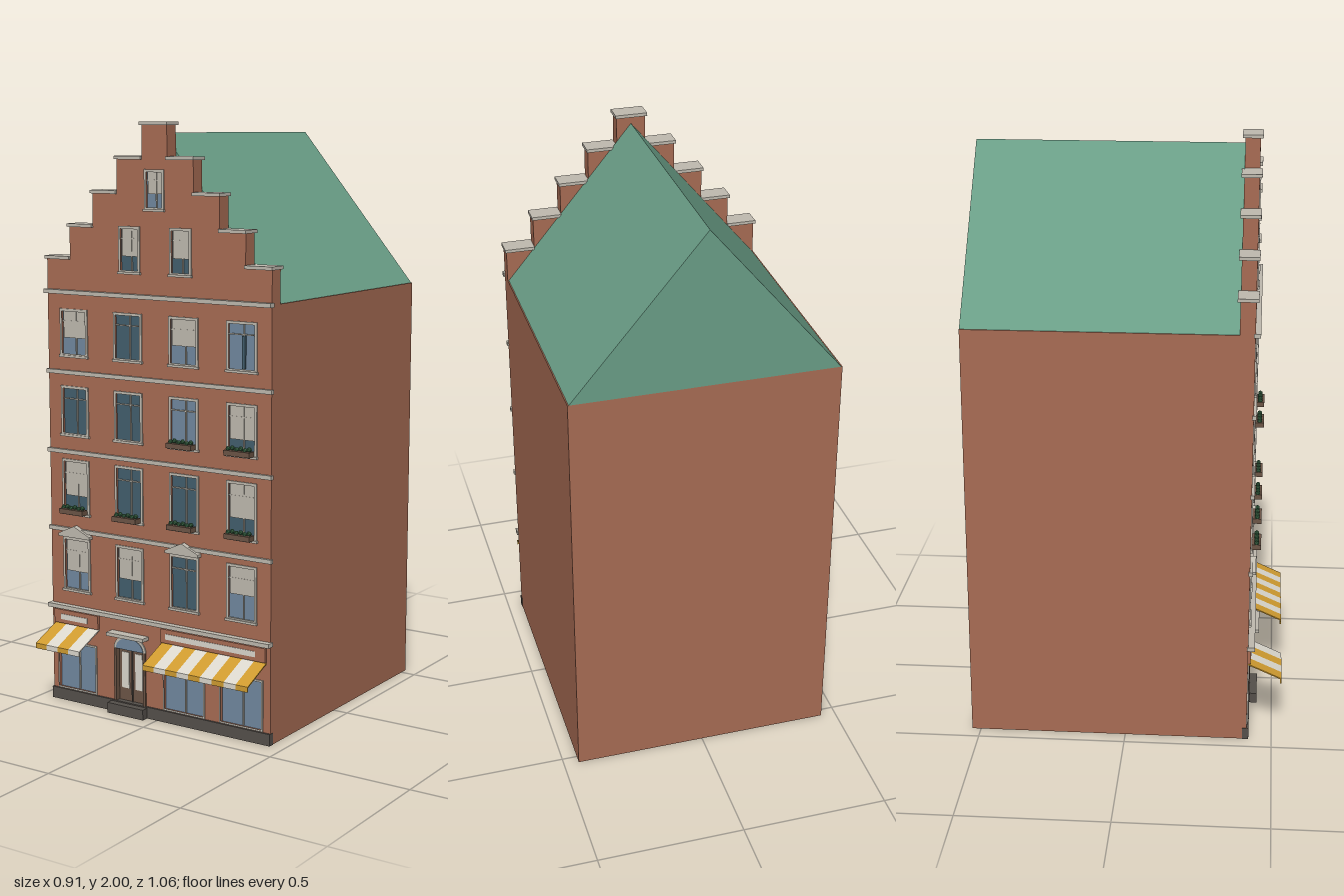
import * as THREE from 'three';

const mat = (name, color) => {
  const m = new THREE.MeshStandardMaterial({ color });
  m.name = name;
  return m;
};
const brick = mat('brick', 0xa86c54), trim = mat('stone trim', 0xc0bbb0), copper = mat('green roof', 0x6a9e87);
const dark = mat('dark glass', 0x435f6e), pale = mat('pale glass', 0x7189a0), plinthMat = mat('plinth stone', 0x55504b);
const wood = mat('brown wood', 0x6c5546), yellow = mat('awning yellow', 0xd09c30);
const cream = mat('awning cream', 0xdcd8ce), leaf = mat('foliage', 0x3c6a48);

const FRONT = 0.415, BACK = -0.53, SLAB = 0.365, W = 0.448;

// box given by its limits on each axis
function box(parent, name, m, x0, x1, y0, y1, z0, z1) {
  const mesh = new THREE.Mesh(new THREE.BoxGeometry(x1 - x0, y1 - y0, z1 - z0), m);
  mesh.position.set((x0 + x1) / 2, (y0 + y1) / 2, (z0 + z1) / 2);
  mesh.name = name;
  parent.add(mesh);
  return mesh;
}

function extrude(parent, name, m, shape, z0, z1) {
  const geo = new THREE.ExtrudeGeometry(shape, { depth: z1 - z0, bevelEnabled: false, curveSegments: 10 });
  const mesh = new THREE.Mesh(geo, m);
  mesh.position.z = z0;
  mesh.name = name;
  parent.add(mesh);
  return mesh;
}

const poly = pts => new THREE.Shape(pts.map(p => new THREE.Vector2(...p)));
const rect = (x0, x1, y0, y1) => [[x0, y0], [x0, y1], [x1, y1], [x1, y0]];

// window rows: bottom, top, then glass and blind share for each column
const columns = [-0.337, -0.112, 0.112, 0.337];
const rows = [
  { y0: 0.4, y1: 0.588, panes: [[pale, 0.65], [dark, 0.63], [dark, 0], [pale, 0.55]], boxes: [], pediments: [0, 2] },
  { y0: 0.672, y1: 0.862, panes: [[dark, 0.68], [dark, 0], [dark, 0], [dark, 0.65]], boxes: [0, 1, 2, 3], pediments: [] },
  { y0: 0.945, y1: 1.115, panes: [[dark, 0], [dark, 0], [pale, 0], [dark, 0.7]], boxes: [2, 3], pediments: [] },
  { y0: 1.217, y1: 1.378, panes: [[pale, 0.62], [dark, 0], [pale, 0.6], [pale, 0]], boxes: [], pediments: [] },
];
const windows = [];
rows.forEach(r => columns.forEach((x, i) => windows.push({
  x, w: 0.116, y0: r.y0, y1: r.y1, glass: r.panes[i][0], blind: r.panes[i][1],
  planter: r.boxes.includes(i), pediment: r.pediments.includes(i),
})));
for (const x of [-0.102, 0.102]) windows.push({ x, w: 0.086, y0: 1.51, y1: 1.663, glass: dark, blind: 0.65 });
windows.push({ x: 0, w: 0.078, y0: 1.717, y1: 1.848, glass: pale, blind: 0.6 });

const shops = [[-0.425, -0.256], [0.024, 0.193], [0.252, 0.421]];
const door = [-0.176, -0.052, 0.04, 0.226];

// frame around an opening, slightly proud of the wall
function frame(parent, x0, x1, y0, y1, t = 0.009) {
  const s = poly(rect(x0, x1, y0, y1));
  s.holes.push(poly(rect(x0 + t, x1 - t, y0 + t, y1 - t)));
  extrude(parent, 'frame', trim, s, 0.4, 0.419);
}

function addWindow(house, o) {
  const g = new THREE.Group();
  g.name = 'window';
  const x0 = o.x - o.w / 2, x1 = o.x + o.w / 2, h = o.y1 - o.y0;
  box(g, 'glass', o.glass, x0, x1, o.y0, o.y1, 0.394, 0.4);
  frame(g, x0, x1, o.y0, o.y1);
  box(g, 'mullion', trim, o.x - 0.002, o.x + 0.002, o.y0, o.y1, 0.4, 0.405);
  const bar = o.y1 - h * 0.27;
  box(g, 'transom', trim, x0, x1, bar - 0.002, bar + 0.002, 0.4, 0.405);
  if (o.blind) box(g, 'blind', trim, x0 + 0.005, x1 - 0.005, o.y1 - h * o.blind, o.y1 - 0.004, 0.4, 0.404);
  box(g, 'sill', trim, x0 - 0.003, x1 + 0.003, o.y0 - 0.004, o.y0 + 0.004, 0.4, 0.423);
  if (o.planter) {
    box(g, 'planter', wood, o.x - 0.049, o.x + 0.049, o.y0 + 0.004, o.y0 + 0.021, 0.419, 0.449);
    for (let i = 0; i < 6; i++) {
      const plant = new THREE.Mesh(new THREE.IcosahedronGeometry(0.009, 0), leaf);
      plant.position.set(o.x - 0.04 + i * 0.016, o.y0 + 0.024 + (i % 2) * 0.004, 0.434);
      plant.name = 'plant';
      g.add(plant);
    }
  }
  if (o.pediment) {
    const y = o.y1 + 0.004;
    extrude(g, 'pediment', trim, poly([[o.x - 0.066, y], [o.x + 0.066, y], [o.x + 0.066, y + 0.01], [o.x, y + 0.04], [o.x - 0.066, y + 0.01]]), FRONT, 0.434);
  }
  house.add(g);
}

// striped sloping awning with a short hanging edge
function addAwning(house, x0, x1, count) {
  const g = new THREE.Group();
  g.name = 'awning';
  const dz = 0.113, dy = 0.05, w = (x1 - x0) / count;
  for (let i = 0; i < count; i++) {
    const a = x0 + i * w, m = i % 2 ? cream : yellow;
    const s = box(g, 'awningStripe', m, a, a + w, -0.002, 0.002, 0, Math.hypot(dz, dy));
    s.position.y = 0.275 - dy / 2;
    s.position.z = FRONT + dz / 2;
    s.rotation.x = Math.atan2(dy, dz);
    box(g, 'awningEdge', m, a, a + w, 0.209, 0.227, 0.525, 0.529);
  }
  house.add(g);
}

export function createModel() {
  const house = new THREE.Group();
  house.name = 'townHouse';

  // main block and pitched roof
  box(house, 'walls', brick, -W, W, 0, 1.435, BACK, SLAB);
  extrude(house, 'roof', copper, poly([[-0.444, 1.435], [0.444, 1.435], [0, 1.965]]), BACK, SLAB);

  // stepped front wall with openings
  const steps = [[0.448, 1.545], [0.35, 1.655], [0.252, 1.768], [0.152, 1.88], [0.05, 1.99]];
  const right = [[W, 0]];
  steps.forEach(([x, y], i) => {
    if (i) right.push([x, steps[i - 1][1]]);
    right.push([x, y]);
  });
  const facade = poly([...right, ...right.map(([x, y]) => [-x, y]).reverse()]);
  windows.forEach(o => facade.holes.push(poly(rect(o.x - o.w / 2, o.x + o.w / 2, o.y0, o.y1))));
  shops.forEach(([a, b]) => facade.holes.push(poly(rect(a, b, 0.042, 0.215))));
  facade.holes.push(poly(rect(...door)));
  extrude(house, 'frontWall', brick, facade, SLAB, FRONT);

  // coping stones on the steps
  steps.forEach(([x, y], i) => {
    const inner = i < 4 ? steps[i + 1][0] : -x - 0.005;
    for (const s of i < 4 ? [1, -1] : [1]) {
      const a = s * inner, b = s * (x + 0.005);
      box(house, 'coping', trim, Math.min(a, b), Math.max(a, b), y - 0.001, y + 0.01, 0.356, 0.424);
    }
  });

  // horizontal stone bands
  [[0.34, 0.437], [0.615, 0.424], [0.888, 0.424], [1.162, 0.424], [1.435, 0.432]].forEach(([y, z]) =>
    box(house, 'stoneBand', trim, -0.453, 0.453, y - 0.007, y + 0.007, FRONT - 0.005, z));

  windows.forEach(o => addWindow(house, o));

  // slightly parted curtains
  box(house, 'curtainGap', dark, 0.331, 0.343, 1.226, 1.33, 0.4, 0.407);

  // shop fronts
  shops.forEach(([a, b]) => {
    box(house, 'shopGlass', pale, a, b, 0.042, 0.215, 0.394, 0.4);
    frame(house, a, b, 0.042, 0.215, 0.006);
    const c = (a + b) / 2;
    box(house, 'shopMullion', trim, c - 0.002, c + 0.002, 0.045, 0.212, 0.4, 0.406);
  });
  [[-0.434, -0.245, 4, -0.405, -0.29], [0.02, 0.433, 9, 0.04, 0.395]].forEach(([a, b, n, p, q]) => {
    addAwning(house, a, b, n);
    box(house, 'signBoard', brick, a, b, 0.278, 0.326, FRONT, 0.424);
    box(house, 'signPanel', cream, p, q, 0.292, 0.311, 0.424, 0.426);
  });

  // double door with arched light and hood
  const [d0, d1, e0, e1] = door, dc = (d0 + d1) / 2;
  box(house, 'door', wood, d0, d1, e0, e1, 0.392, 0.402);
  for (const s of [-1, 1]) {
    const c = dc + s * 0.028;
    box(house, 'doorPanel', cream, c - 0.015, c + 0.015, 0.085, 0.212, 0.402, 0.405);
    box(house, 'doorPost', wood, dc + s * 0.061 - 0.005, dc + s * 0.061 + 0.005, e0, e1, 0.402, 0.42);
  }
  box(house, 'doorSplit', plinthMat, dc - 0.002, dc + 0.002, e0, e1, 0.402, 0.406);
  const arch = (rx, ry) => new THREE.Shape().absellipse(dc, e1, rx, ry, 0, Math.PI, false);
  extrude(house, 'archSurround', trim, arch(0.067, 0.052), FRONT, 0.419);
  extrude(house, 'archLight', pale, arch(0.057, 0.042), 0.419, 0.421);
  box(house, 'doorHood', trim, -0.19, -0.036, 0.274, 0.286, FRONT, 0.45);

  // plinth and doorstep
  box(house, 'plinth', plinthMat, -0.45, 0.45, 0, 0.04, 0.4, 0.422);
  box(house, 'doorstep', plinthMat, -0.19, -0.04, 0, 0.036, 0.42, 0.447);
  return house;
}
